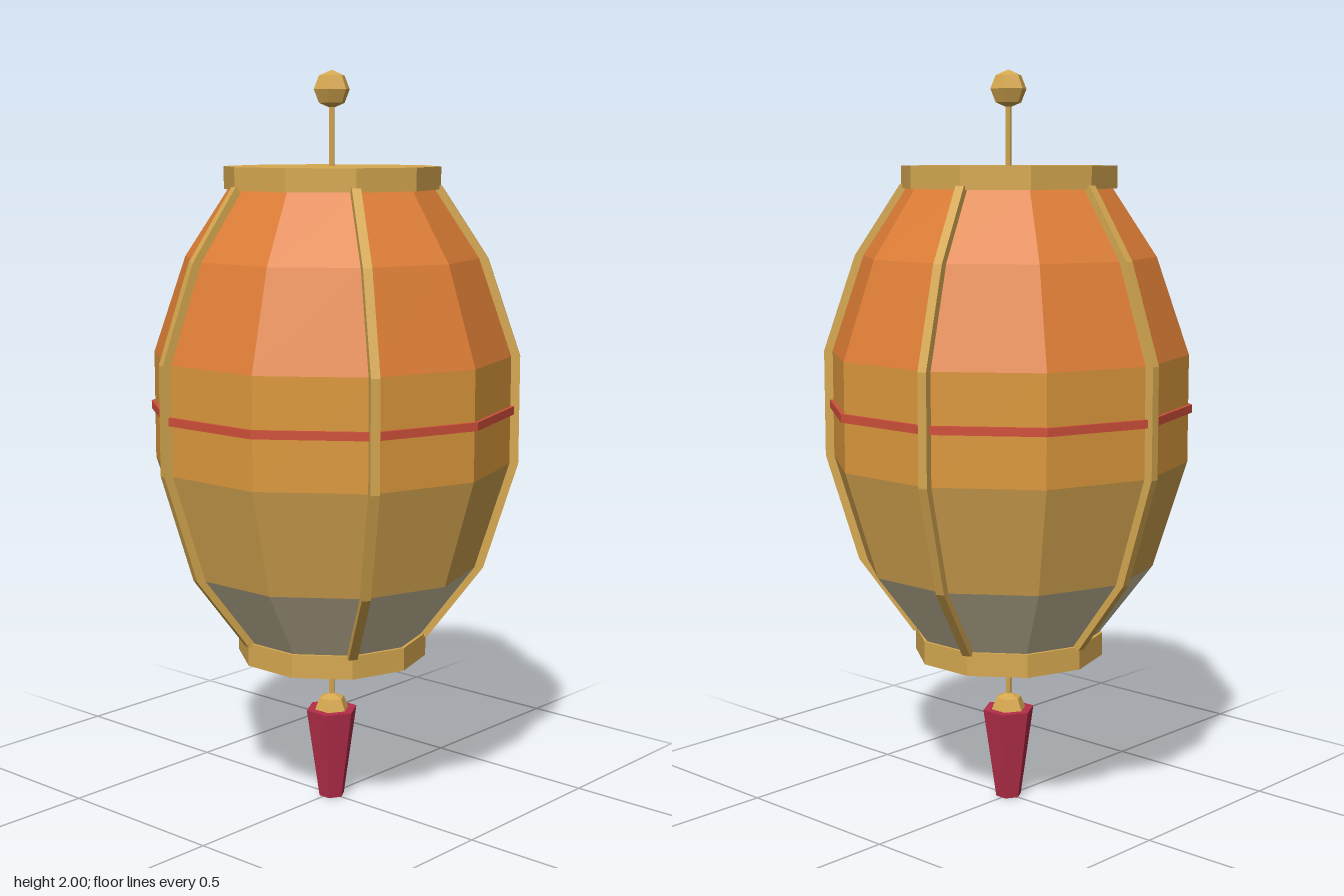
import * as THREE from 'three';

const SIDES = 10;

function material(name, color) {
  const m = new THREE.MeshStandardMaterial({ color, flatShading: true });
  m.name = name;
  return m;
}

export function createModel() {
  const gold = material('gold frame', 0xd6a850);
  const orange = material('orange paper', 0xde7e36);
  const amber = material('amber paper', 0xdc983c);
  const honey = material('honey paper', 0xd9a852);
  const cream = material('cream paper', 0xd2c6a4);
  const red = material('red cord', 0xd0503a);
  const crimson = material('crimson tassel', 0xb52e4a);

  const root = new THREE.Group();
  root.name = 'lantern';
  const lantern = new THREE.Group();
  lantern.name = 'lanternParts';
  lantern.position.z = 0.004;
  root.add(lantern);

  function add(name, geometry, mat, y = 0) {
    const mesh = new THREE.Mesh(geometry, mat);
    mesh.name = name;
    mesh.position.y = y;
    lantern.add(mesh);
    return mesh;
  }

  // Faceted prism or frustum between two heights
  function frustum(name, y0, r0, y1, r1, mat, sides = SIDES, open = false) {
    const g = new THREE.CylinderGeometry(r1, r0, y1 - y0, sides, 1, open);
    return add(name, g, mat, (y0 + y1) / 2);
  }

  // Paper body: [height, radius] rings, one colour per band
  const rings = [[0.47, 0.245], [0.67, 0.396], [0.96, 0.486], [1.25, 0.486], [1.51, 0.397], [1.70, 0.272]];
  const papers = [cream, honey, amber, orange, orange];
  papers.forEach((mat, i) => {
    const [y0, r0] = rings[i], [y1, r1] = rings[i + 1];
    frustum('paperBand' + (i + 1), y0, r0, y1, r1, mat, SIDES, true);
  });

  // Caps and waist cord
  frustum('bottomCap', 0.415, 0.26, 0.478, 0.26, gold);
  frustum('topCap', 1.69, 0.29, 1.75, 0.29, gold);
  frustum('waistCord', 1.094, 0.496, 1.116, 0.496, red);

  // Five ribs following the body profile, on every second corner
  const ribWidth = 0.024;
  const outer = rings.map(([y, r]) => new THREE.Vector2(r + 0.02, y));
  const inner = rings.map(([y, r]) => new THREE.Vector2(r - 0.006, y)).reverse();
  const ribGeometry = new THREE.ExtrudeGeometry(new THREE.Shape([...outer, ...inner]), {
    depth: ribWidth, bevelEnabled: false,
  });
  ribGeometry.translate(0, 0, -ribWidth / 2);
  for (let i = 0; i < 5; i++) {
    add('rib' + (i + 1), ribGeometry, gold).rotation.y = Math.PI / 2 + (i * Math.PI * 2) / 5;
  }

  // Hanging rod, finial and tassel
  frustum('upperRod', 1.74, 0.008, 1.93, 0.008, gold, 6);
  frustum('lowerRod', 0.27, 0.008, 0.43, 0.008, gold, 6);
  const bead = new THREE.SphereGeometry(0.05, 6, 4).rotateY(Math.PI / 2);
  add('finial', bead, gold, 1.95);
  add('tasselBead', bead, gold, 0.25);
  frustum('tassel', 0, 0.036, 0.253, 0.073, crimson, 6);

  return root;
}
